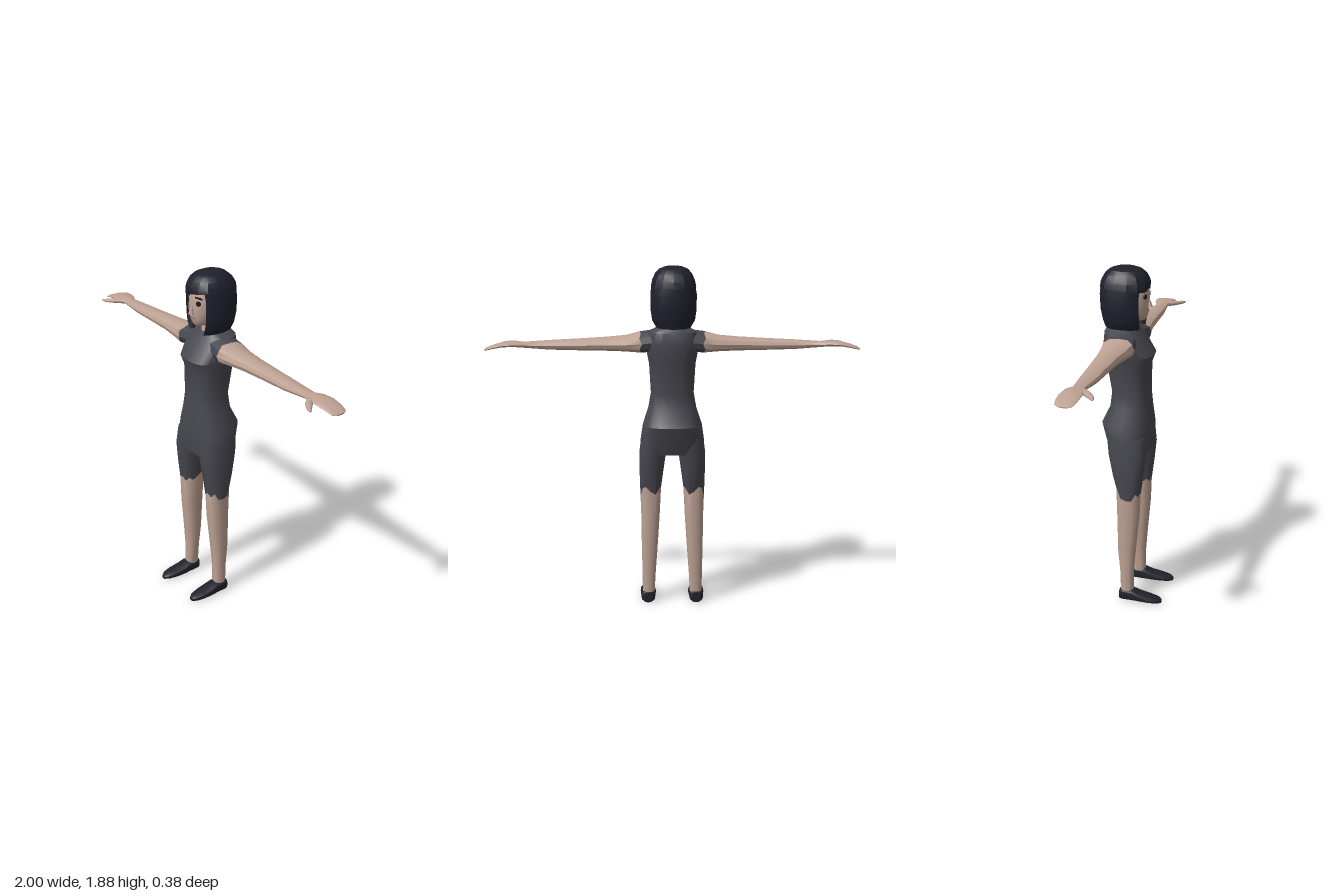
import * as THREE from 'three';
import { toCreasedNormals } from 'three/addons/utils/BufferGeometryUtils.js';

const paint = (name, color) => {
  const m = new THREE.MeshStandardMaterial({ color });
  m.name = name;
  return m;
};

// Signed power, for rounded-box cross-sections
const sp = (v, p) => Math.sign(v) * Math.abs(v) ** (2 / p);

// Cross-section across one axis: spans a0..a1 and b0..b1, with optional wobble along the axis
function oval(axis, at, a0, a1, b0, b1, { n = 16, p = 2.4, wobble = null } = {}) {
  const pts = [];
  for (let i = 0; i < n; i++) {
    const t = (i / n) * Math.PI * 2;
    const a = (a0 + a1) / 2 + ((a1 - a0) / 2) * sp(Math.sin(t), p);
    const b = (b0 + b1) / 2 + ((b1 - b0) / 2) * sp(Math.cos(t), p);
    const k = at + (wobble ? wobble[i % wobble.length] : 0);
    pts.push(axis === 'x' ? new THREE.Vector3(k, a, b)
      : axis === 'y' ? new THREE.Vector3(a, k, b) : new THREE.Vector3(a, b, k));
  }
  return pts;
}

// Skin a closed solid over cross-sections; caps are strips, so C shapes work too
function loft(rings, crease = 0.6) {
  const n = rings[0].length, pts = rings.flat(), idx = [];
  const quad = (a, b, c, d) => idx.push(a, b, c, a, c, d);
  for (let r = 0; r < rings.length - 1; r++)
    for (let i = 0; i < n; i++) {
      const j = (i + 1) % n;
      quad(r * n + i, r * n + j, (r + 1) * n + j, (r + 1) * n + i);
    }
  const e = (rings.length - 1) * n;
  for (let i = 0; i < n / 2 - 1; i++) {
    quad(n - 1 - i, n - 2 - i, i + 1, i);
    quad(e + i, e + i + 1, e + n - 2 - i, e + n - 1 - i);
  }
  // Turn the faces outward whichever way the sections run
  let volume = 0;
  const cross = new THREE.Vector3();
  for (let i = 0; i < idx.length; i += 3)
    volume += pts[idx[i]].dot(cross.crossVectors(pts[idx[i + 1]], pts[idx[i + 2]]));
  if (volume < 0) idx.reverse();
  const g = new THREE.BufferGeometry().setFromPoints(pts);
  g.setIndex(idx);
  return toCreasedNormals(g, crease);
}

export function createModel() {
  const skin = paint('skin', 0xbda193);
  const cloth = paint('charcoal cloth', 0x47474f);
  const hairMat = paint('dark hair', 0x20202d);
  const leather = paint('shoe leather', 0x21212a);
  const dark = paint('eye dark', 0x1b191e);
  const lip = paint('lip', 0x94695f);

  const model = new THREE.Group();
  model.name = 'standingWoman';
  const add = (parent, name, geo, mat) => {
    const m = new THREE.Mesh(geo, mat);
    m.name = name;
    parent.add(m);
    return m;
  };

  // Torso: height, half width, front z, back z
  add(model, 'torso', loft([
    [1.578, 0.055, -0.005, -0.12], [1.56, 0.085, 0.005, -0.148], [1.54, 0.13, 0.02, -0.158],
    [1.48, 0.148, 0.062, -0.163], [1.415, 0.136, 0.106, -0.157], [1.36, 0.125, 0.085, -0.148],
    [1.2, 0.116, 0.083, -0.121], [1.12, 0.13, 0.09, -0.13], [1.03, 0.16, 0.1, -0.174],
    [0.95, 0.172, 0.1, -0.148], [0.87, 0.178, 0.09, -0.115],
  ].map(([y, w, f, b]) => oval('y', y, -w, w, b, f, { n: 20, p: 2.6 }))), cloth);

  // Neck
  add(model, 'neck', loft([[1.54, 0.055], [1.59, 0.046], [1.66, 0.045]]
    .map(([y, r]) => oval('y', y, -r, r, -0.06 - r, -0.045 + r, { n: 14, p: 2 }))), skin);

  // Head: height, half width, front z, back z
  add(model, 'head', loft([
    [1.6, 0.022, 0.052, -0.02], [1.612, 0.045, 0.062, -0.05], [1.64, 0.068, 0.07, -0.1],
    [1.68, 0.08, 0.075, -0.13], [1.73, 0.087, 0.075, -0.145], [1.78, 0.087, 0.07, -0.15],
    [1.83, 0.07, 0.045, -0.13],
  ].map(([y, w, f, b]) => oval('y', y, -w, w, b, f, { n: 20 })), 0.9), skin);

  // Nose and mouth
  const nose = add(model, 'nose', new THREE.ConeGeometry(0.016, 0.055, 6), skin);
  nose.position.set(0, 1.698, 0.077);
  nose.rotation.x = -0.12;
  add(model, 'mouth', new THREE.BoxGeometry(0.036, 0.006, 0.008), lip).position.set(0, 1.648, 0.069);

  // Crown of hair with a fringe slanting lower on one side
  const crown = [
    [1.88, 0.045, 0.0, -0.1], [1.868, 0.075, 0.035, -0.135], [1.845, 0.098, 0.062, -0.162],
    [1.81, 0.115, 0.08, -0.182], [1.775, 0.122, 0.082, -0.187],
  ].map(([y, w, f, b]) => oval('y', y, -0.006 - w, -0.006 + w, b, f, { n: 14, p: 2.3 }));
  for (const v of crown.at(-1)) v.y += v.z > 0 ? v.x * 0.17 + 0.004 : 0;
  add(model, 'hairCrown', loft(crown, 0.4), hairMat);

  // Bobbed hair: C-shaped sections open around the face
  const bobRing = ([y, w, f, b, gap]) => {
    const N = 14, ring = [];
    const side = (i, s) => {
      const t = gap + (i / N) * (2 * Math.PI - 2 * gap);
      return new THREE.Vector3(-0.006 + w * s * sp(Math.sin(t), 2.3), y,
        (f + b) / 2 + ((f - b) / 2) * s * sp(Math.cos(t), 2.3));
    };
    for (let i = 0; i <= N; i++) ring.push(side(i, 1));
    for (let i = N; i >= 0; i--) ring.push(side(i, 0.82));
    return ring;
  };
  add(model, 'hairBob', loft([
    [1.56, 0.092, 0.062, -0.158, 0.66], [1.6, 0.115, 0.068, -0.17, 0.7], [1.66, 0.124, 0.073, -0.182, 0.74],
    [1.74, 0.124, 0.074, -0.186, 0.74], [1.81, 0.112, 0.075, -0.178, 0.7],
  ].map(bobRing), 0.4), hairMat);

  // Everything paired is built on the left and mirrored
  const sleeveSeam = [0, 0.008, -0.006, 0.006];
  const hem = [0.012, -0.005, 0.018, -0.02, -0.022, -0.012, 0.03, 0.04, 0.012, -0.004, 0.02, 0.034, 0.02, 0, 0.014, -0.008];
  // Arm: x, top y, bottom y, front z, back z
  const armRing = ([x, top, bottom, f, b], wobble = null) => oval('x', x, bottom, top, b, f, { n: 12, p: 2.2, wobble });
  const seam = armRing([0.168, 1.537, 1.422, 0.042, -0.135], sleeveSeam);
  // Leg: height, inner x, outer x, front z, back z
  const legRing = ([y, i, o, f, b], wobble = null) => oval('y', y, i, o, b, f, { n: 16, p: 2.5, wobble });
  const hemRing = legRing([0.64, 0.062, 0.176, 0.06, -0.072], hem);

  for (const s of [1, -1]) {
    const half = new THREE.Group();
    half.name = s > 0 ? 'leftSide' : 'rightSide';
    half.scale.x = s;
    model.add(half);

    add(half, 'sleeve', loft([armRing([0.07, 1.552, 1.43, 0.03, -0.14]), seam]), cloth);
    add(half, 'armAndHand', loft([seam, ...[
      [0.25, 1.517, 1.43, 0.026, -0.125], [0.35, 1.509, 1.434, 0.01, -0.115], [0.5, 1.5, 1.437, 0, -0.107],
      [0.65, 1.492, 1.441, -0.006, -0.1], [0.79, 1.483, 1.452, -0.022, -0.09], [0.84, 1.487, 1.458, -0.006, -0.112],
      [0.9, 1.482, 1.458, -0.005, -0.12], [0.95, 1.469, 1.45, -0.01, -0.12], [0.987, 1.455, 1.442, -0.02, -0.112],
      [1, 1.448, 1.441, -0.04, -0.09],
    ].map((r) => armRing(r))]), skin);
    add(half, 'thumb', loft([
      [0.81, 1.482, 1.455, -0.02, -0.06], [0.84, 1.482, 1.455, 0.018, -0.04], [0.87, 1.478, 1.456, 0.042, -0.006],
      [0.9, 1.473, 1.456, 0.055, 0.026], [0.92, 1.467, 1.459, 0.057, 0.046],
    ].map((r) => armRing(r))), skin);

    add(half, 'shortsLeg', loft([...[
      [0.97, 0.02, 0.168, 0.085, -0.13], [0.87, 0.033, 0.18, 0.091, -0.118], [0.75, 0.05, 0.18, 0.076, -0.092],
    ].map((r) => legRing(r)), hemRing]), cloth);
    add(half, 'bareLeg', loft([hemRing, ...[
      [0.5, 0.07, 0.172, 0.055, -0.067], [0.3, 0.083, 0.17, 0.036, -0.062], [0.18, 0.092, 0.167, 0.026, -0.05],
      [0.04, 0.1, 0.166, 0.025, -0.045],
    ].map((r) => legRing(r))]), skin);

    // Shoe: z, centre x, half width, height
    add(half, 'shoe', loft([
      [-0.052, 0.135, 0.026, 0.058], [-0.035, 0.135, 0.039, 0.066], [0.025, 0.135, 0.042, 0.064],
      [0.06, 0.135, 0.044, 0.05], [0.12, 0.137, 0.042, 0.037], [0.165, 0.138, 0.032, 0.029],
      [0.188, 0.138, 0.014, 0.02],
    ].map(([z, x, w, h]) => oval('z', z, x - w, x + w, 0, h, { n: 12, p: 3 }))), leather);

    // Eye and brow
    const eye = add(half, 'eye', new THREE.CylinderGeometry(0.013, 0.013, 0.009, 14).rotateX(Math.PI / 2), dark);
    eye.position.set(0.044, 1.735, 0.065);
    eye.rotation.y = 0.3;
    const brow = add(half, 'eyebrow', new THREE.BoxGeometry(0.042, 0.007, 0.009), dark);
    brow.position.set(0.045, 1.765, 0.063);
    brow.rotation.set(0, 0.3, -0.1);
  }
  return model;
}
